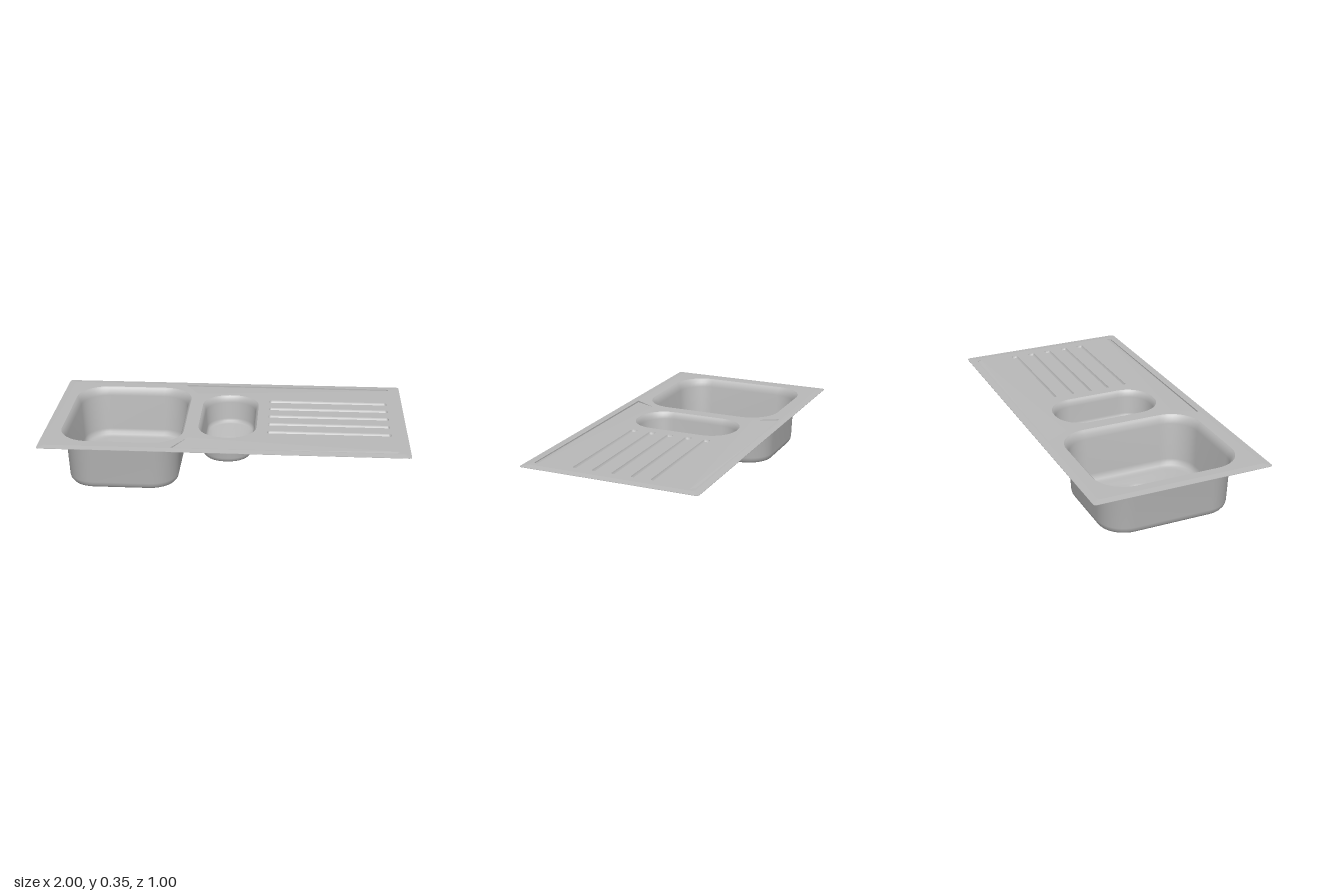
import * as THREE from 'three';
import { toCreasedNormals } from 'three/addons/utils/BufferGeometryUtils.js';

const TOP = 0.348;
const steel = new THREE.MeshStandardMaterial({ color: 0xb8b8b8, side: THREE.DoubleSide });
steel.name = 'stainless steel';

// Closed rounded-rectangle loop as [x, z] pairs; hw = hd = r gives a circle
function roundRect(cx, cz, hw, hd, r, n = 10) {
  const pts = [];
  const corners = [[1, 1], [-1, 1], [-1, -1], [1, -1]];
  corners.forEach(([sx, sz], c) => {
    for (let i = 0; i <= n; i++) {
      const a = (c + i / n) * Math.PI / 2;
      pts.push([cx + sx * (hw - r) + r * Math.cos(a), cz + sz * (hd - r) + r * Math.sin(a)]);
    }
  });
  return pts;
}

const atHeight = (loop, y) => loop.map(([x, z]) => [x, y, z]);

// Skin a stack of equal-length loops, optionally closing the last one
function loft(loops, cap = true, crease = 0.6) {
  const n = loops[0].length;
  const pos = loops.flat(2);
  const index = [];
  for (let k = 0; k < loops.length - 1; k++) {
    for (let i = 0; i < n; i++) {
      const a = k * n + i, b = k * n + (i + 1) % n;
      index.push(a, b, a + n, b, b + n, a + n);
    }
  }
  if (cap) {
    const last = (loops.length - 1) * n;
    for (let i = 1; i < n - 1; i++) index.push(last, last + i + 1, last + i);
  }
  const g = new THREE.BufferGeometry();
  g.setAttribute('position', new THREE.Float32BufferAttribute(pos, 3));
  g.setIndex(index);
  return toCreasedNormals(g, crease);
}

function mesh(name, geometry, parent) {
  const m = new THREE.Mesh(geometry, steel);
  m.name = name;
  parent.add(m);
  return m;
}

const toPath = (loop, Type = THREE.Path) => new Type(loop.map(([x, z]) => new THREE.Vector2(x, -z)));

// Bowl sections: half width, half depth, corner radius, height
const bowls = [
  {
    name: 'mainBowl', x: -0.57, drainX: -0.475, drainY: 0,
    sections: [
      [0.34, 0.40, 0.17, TOP], [0.333, 0.393, 0.165, 0.341], [0.324, 0.383, 0.16, 0.325],
      [0.317, 0.377, 0.155, 0.30], [0.307, 0.37, 0.15, 0.085], [0.303, 0.366, 0.147, 0.066],
      [0.293, 0.356, 0.14, 0.052], [0.278, 0.341, 0.13, 0.045], [0.262, 0.325, 0.12, 0.043],
    ],
  },
  {
    name: 'smallBowl', x: 0.007, drainX: 0.005, drainY: 0.14,
    sections: [
      [0.162, 0.305, 0.15, TOP], [0.156, 0.299, 0.145, 0.341], [0.149, 0.292, 0.14, 0.33],
      [0.145, 0.288, 0.138, 0.31], [0.138, 0.281, 0.13, 0.21], [0.135, 0.278, 0.128, 0.196],
      [0.127, 0.27, 0.12, 0.187], [0.117, 0.26, 0.11, 0.184],
    ],
  },
];

// Perforated strainer disc
function strainer() {
  const disc = new THREE.Shape().absarc(0, 0, 0.06, 0, Math.PI * 2);
  const addHole = (x, y) => disc.holes.push(new THREE.Path().absarc(x, y, 0.0045, 0, Math.PI * 2, true));
  addHole(0, 0);
  [[0.016, 6], [0.031, 12], [0.046, 18]].forEach(([r, count]) => {
    for (let i = 0; i < count; i++) {
      const a = i / count * Math.PI * 2;
      addHole(r * Math.cos(a), r * Math.sin(a));
    }
  });
  return new THREE.ShapeGeometry(disc, 10).rotateX(-Math.PI / 2);
}

function buildBowl({ name, x, drainX, drainY, sections }) {
  const bowl = new THREE.Group();
  bowl.name = name;
  const loops = sections.map(([w, d, r, y]) => atHeight(roundRect(x, 0, w, d, r), y));
  // Sloping floor, dished waste opening and cup
  [[0.1, 0.034], [0.086, 0.029], [0.077, 0.022], [0.074, 0.014], [0.074, 0]].forEach(([r, dy]) =>
    loops.push(atHeight(roundRect(drainX, 0, r, r, r), drainY + dy)));
  mesh(name + 'Shell', loft(loops), bowl);

  const ring = [[0.074, 0.016], [0.071, 0.021], [0.066, 0.021], [0.06, 0.013]];
  const rim = new THREE.LatheGeometry(ring.map(([r, y]) => new THREE.Vector2(r, y)), 40);
  mesh('drainRing', rim, bowl).position.set(drainX, drainY, 0);
  mesh('drainStrainer', strainer(), bowl).position.set(drainX, drainY + 0.013, 0);
  return bowl;
}

export function createModel() {
  const sink = new THREE.Group();
  sink.name = 'kitchenSink';

  // Flat deck, cut out for every pressed feature
  const inner = roundRect(0, 0, 0.962, 0.462, 0.012);
  const deck = toPath(inner, THREE.Shape);

  bowls.forEach((b) => {
    const [w, d, r] = b.sections[0];
    deck.holes.push(toPath(roundRect(b.x, 0, w, d, r)));
    sink.add(buildBowl(b));
  });

  // Drainer grooves
  for (let i = -2; i <= 2; i++) {
    const groove = (inset, y) => atHeight(roundRect(0.57, i * 0.11, 0.34 - inset, 0.019 - inset, 0.012 - inset, 5), y);
    deck.holes.push(toPath(roundRect(0.57, i * 0.11, 0.34, 0.019, 0.012, 5)));
    mesh('drainerGroove', loft([groove(0, TOP), groove(0.003, TOP - 0.009), groove(0.006, TOP - 0.012)]), sink);
  }

  // Tapered runoff panels, deepest along the outer edges
  [-1, 1].forEach((s) => {
    const outline = [[-0.28, 0.453], [0.925, 0.453], [0.94, 0.43], [-0.2, 0.318]].map(([x, z]) => [x, s * z]);
    const depth = [0.009, 0.006, 0, 0];
    deck.holes.push(toPath(outline));
    const floor = outline.map(([x, z], i) => [x, TOP - depth[i], z]);
    mesh('runoffPanel', loft([atHeight(outline, TOP), floor], true, 0.1), sink);
  });

  const top = new THREE.ShapeGeometry(deck).rotateX(-Math.PI / 2).translate(0, TOP, 0);
  mesh('deck', top, sink);

  // Gently falling outer rim
  const outer = roundRect(0, 0, 1, 0.5, 0.016);
  mesh('rim', loft([atHeight(inner, TOP), atHeight(outer, TOP - 0.004), atHeight(outer, TOP - 0.006)], false, 0.05), sink);

  return sink;
}
